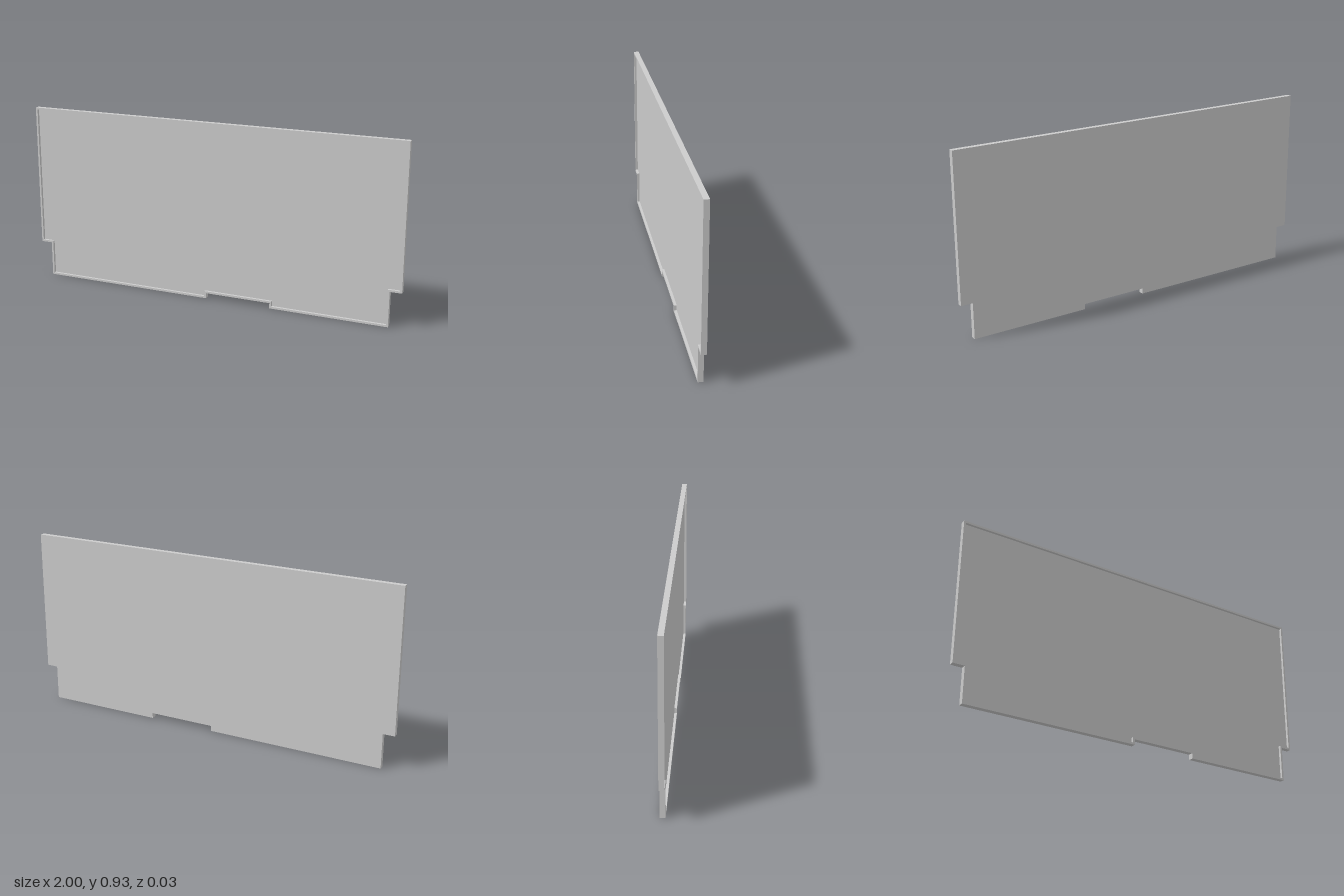
import * as THREE from 'three';

const DEPTH = 0.027, PLATE = 0.0135, RIM = 0.01;

// Panel outline, counter-clockwise, with stepped lower corners and a bottom notch
const OUTLINE = [
  [-0.94, 0], [-0.02, 0], [-0.02, 0.028], [0.33, 0.028], [0.33, 0], [0.94, 0],
  [0.94, 0.183], [1, 0.183], [1, 0.926], [-1, 0.926], [-1, 0.183], [-0.94, 0.183],
].map(([x, y]) => new THREE.Vector2(x, y));

// Moves every edge of a right-angled outline inwards by d
function inset(points, d) {
  const n = points.length;
  return points.map((p, i) => {
    const a = p.clone().sub(points[(i + n - 1) % n]).normalize();
    const b = points[(i + 1) % n].clone().sub(p).normalize();
    return new THREE.Vector2(p.x - d * (a.y + b.y), p.y + d * (a.x + b.x));
  });
}

function slab(name, shape, depth, z, material) {
  const geometry = new THREE.ExtrudeGeometry(shape, { depth, bevelEnabled: false });
  const mesh = new THREE.Mesh(geometry, material);
  mesh.name = name;
  mesh.position.z = z;
  return mesh;
}

export function createModel() {
  const group = new THREE.Group();
  group.name = 'panel';
  const material = new THREE.MeshStandardMaterial({ color: 0xcccccc });

  // Flat back plate
  group.add(slab('backPlate', new THREE.Shape(OUTLINE), PLATE, -DEPTH / 2, material));

  // Thin raised rim following the outline on the front
  const rim = new THREE.Shape(OUTLINE);
  rim.holes.push(new THREE.Path(inset(OUTLINE, RIM)));
  group.add(slab('rim', rim, DEPTH - PLATE, PLATE - DEPTH / 2, material));

  return group;
}
